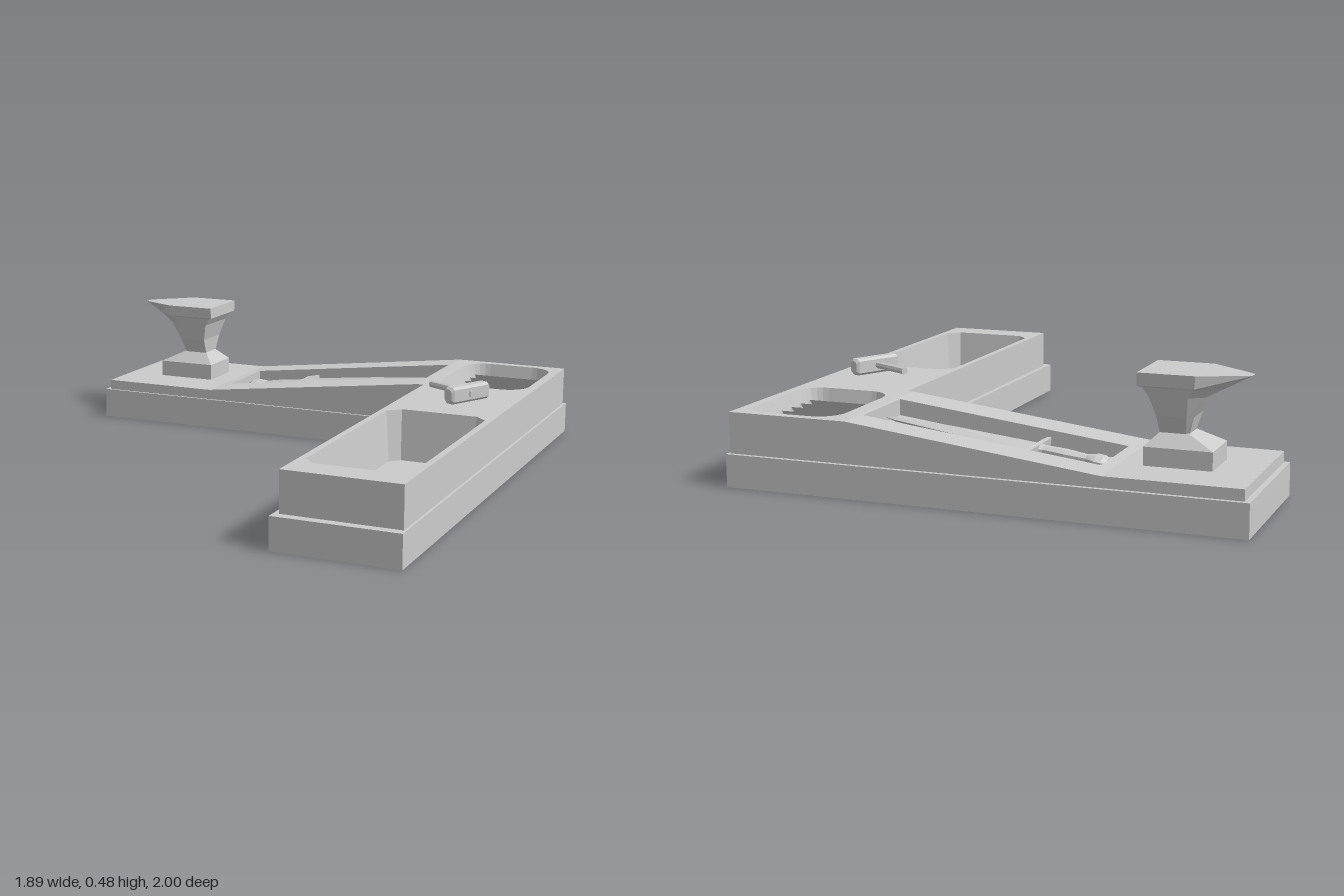
import * as THREE from 'three';

const grey = new THREE.MeshStandardMaterial({ color: 0xcccccc, flatShading: true });

function add(parent, name, geometry, x = 0, y = 0, z = 0) {
  const mesh = new THREE.Mesh(geometry, grey);
  mesh.name = name;
  mesh.position.set(x, y, z);
  parent.add(mesh);
  return mesh;
}

// Deck height: low shelf, ramp, high shelf
const X0 = -0.45, X1 = 0.48, LOW = 0.16, HIGH = 0.27;
const deck = (x) => LOW + (HIGH - LOW) * THREE.MathUtils.clamp((x - X0) / (X1 - X0), 0, 1);

// Rectangle outline [x, z]; seg 0 = square, 1 = chamfered, more = rounded corners
function outline(x0, x1, z0, z1, r = 0, seg = 0) {
  const points = [];
  const corners = [[x1 - r, z0 + r], [x0 + r, z0 + r], [x0 + r, z1 - r], [x1 - r, z1 - r]];
  corners.forEach(([cx, cz], i) => {
    for (let j = 0; j <= seg; j++) {
      const a = (i + j / Math.max(seg, 1)) * Math.PI / 2;
      points.push([cx + r * Math.cos(a), cz - r * Math.sin(a)]);
    }
  });
  return points;
}

// Upright slab with holes; its top follows a height rule
function slab(points, holes, y0, top) {
  const flat = (list) => list.map(([x, z]) => new THREE.Vector2(x, -z));
  const shape = new THREE.Shape(flat(points));
  holes.forEach((h) => shape.holes.push(new THREE.Path(flat(h))));
  const g = new THREE.ExtrudeGeometry(shape, { depth: 1, bevelEnabled: false });
  g.rotateX(-Math.PI / 2);
  const p = g.attributes.position;
  for (let i = 0; i < p.count; i++) p.setY(i, p.getY(i) < 0.5 ? y0 : top(p.getX(i)));
  g.computeVertexNormals();
  return g;
}

// Skin over successive loops of equal point count, with optional end caps
function loft(loops, startCap = true, endCap = true) {
  const out = [];
  const tri = (...pts) => pts.forEach((p) => out.push(...p));
  const n = loops[0].length;
  const mid = (l) => [0, 1, 2].map((k) => l.reduce((s, p) => s + p[k], 0) / n);
  const first = loops[0], last = loops[loops.length - 1];
  for (let i = 0; i < n; i++) {
    const j = (i + 1) % n;
    for (let s = 0; s + 1 < loops.length; s++) {
      const a = loops[s], b = loops[s + 1];
      tri(a[i], a[j], b[j]);
      tri(a[i], b[j], b[i]);
    }
    if (startCap) tri(mid(first), first[j], first[i]);
    if (endCap) tri(mid(last), last[i], last[j]);
  }
  const g = new THREE.BufferGeometry();
  g.setAttribute('position', new THREE.Float32BufferAttribute(out, 3));
  g.computeVertexNormals();
  return g;
}

// Open tray lining a hole, from the rim down to its floor
const tray = (rim, bottom, depth) => loft([
  rim.map(([x, z]) => [x, deck(x), z]),
  bottom.map(([x, z]) => [x, deck(x) - depth, z]),
], false, true);

export function createModel() {
  const group = new THREE.Group();

  // Pocket outlines
  const basinRim = outline(0.53, 0.91, 0, 0.85, 0.045, 1);
  const rackRim = outline(0.54, 0.9, -0.95, -0.485, 0.09, 6);
  const recessRim = outline(-0.41, 0.47, -0.865, -0.575);

  // L-shaped plinth
  const plinth = [[-0.95, -1], [0.945, -1], [0.945, 1], [0.485, 1], [0.485, -0.43], [-0.95, -0.43]];
  add(group, 'plinthBottom', slab(plinth, [], 0, () => 0.07));
  add(group, 'plinthTop', slab(plinth, [basinRim], 0.07, () => 0.12));

  // Counter: low shelf, ramp and high shelf
  add(group, 'lowCounter', slab(outline(-0.93, X0, -0.985, -0.44), [], 0.12, deck));
  add(group, 'rampCounter', slab(outline(X0, X1, -0.985, -0.44), [recessRim], 0.12, deck));
  add(group, 'highCounter', slab(
    [[X1, -0.985], [0.935, -0.985], [0.935, 0.965], [0.505, 0.965], [0.505, -0.44], [X1, -0.44]],
    [basinRim, rackRim], 0.12, deck));

  // Pocket linings
  add(group, 'basin', tray(basinRim, outline(0.548, 0.892, 0.025, 0.825, 0.035, 1), 0.19));
  add(group, 'rackPocket', tray(rackRim, outline(0.555, 0.885, -0.935, -0.5, 0.075, 6), 0.07));
  add(group, 'daggerRecess', tray(recessRim, recessRim, 0.06));

  // Ridges on the rack floor
  for (let i = 0; i < 6; i++) {
    const z = -0.92 + i * 0.068;
    const ridge = (x) => [[x, 0.2, z], [x, 0.232, z + 0.034], [x, 0.2, z + 0.061]].reverse();
    add(group, 'rackRidge', loft([ridge(0.58), ridge(0.86)]));
  }

  // Dagger lying in the recess, along the ramp
  const dagger = new THREE.Group();
  dagger.name = 'dagger';
  dagger.position.set(0, deck(0) - 0.035, -0.715);
  dagger.rotation.z = Math.atan((HIGH - LOW) / (X1 - X0));
  group.add(dagger);
  const diamond = (x, w, t) => [[x, t, 0], [x, 0, w], [x, -t, 0], [x, 0, -w]];
  add(dagger, 'blade', loft([
    diamond(-0.12, 0.06, 0.022), diamond(0.2, 0.034, 0.018),
    diamond(0.42, 0.014, 0.01), diamond(0.46, 0.002, 0.002)]));
  const ring = (x, w, t) => Array.from({ length: 8 }, (_, i) => {
    const a = (i + 0.5) * Math.PI / 4;
    return [x, t * Math.cos(a), w * Math.sin(a)];
  });
  add(dagger, 'grip', loft([ring(-0.32, 0.022, 0.016), ring(-0.23, 0.03, 0.02),
    ring(-0.15, 0.026, 0.018), ring(-0.12, 0.04, 0.022)]));
  add(dagger, 'pommel', loft([ring(-0.385, 0.03, 0.016), ring(-0.37, 0.05, 0.024),
    ring(-0.345, 0.05, 0.024), ring(-0.31, 0.025, 0.018)]));
  const guard = (z, w, t, x) => [[x - w, -t, z], [x + w, -t, z], [x + w, t, z], [x - w, t, z]];
  add(dagger, 'guard', loft([guard(-0.13, 0.006, 0.012, -0.12), guard(-0.06, 0.009, 0.02, -0.128),
    guard(0.06, 0.009, 0.02, -0.128), guard(0.13, 0.006, 0.012, -0.12)]));

  // Anvil: foot, sloped shoulder, flaring body with a horn toward -x
  const anvil = new THREE.Group();
  anvil.name = 'anvil';
  anvil.position.z = -0.715;
  group.add(anvil);
  const level = (y, x0, x1, w) => outline(x0, x1, -w, w).map(([x, z]) => [x, y, z]);
  add(anvil, 'anvilFoot', loft([level(0.155, -0.775, -0.535, 0.09), level(0.225, -0.775, -0.535, 0.09),
    level(0.27, -0.68, -0.58, 0.045)]));
  const section = (y, tip, tipW, shoulder, back, w, tipY = y) => [
    [back, y, w], [back, y, -w], [shoulder, y, -w],
    [tip, tipY, -tipW], [tip, tipY, tipW], [shoulder, y, w]];
  add(anvil, 'anvilBody', loft([
    section(0.265, -0.68, 0.04, -0.67, -0.58, 0.045),
    section(0.33, -0.7, 0.055, -0.68, -0.575, 0.075),
    section(0.4, -0.74, 0.06, -0.69, -0.555, 0.1),
    section(0.43, -0.8, 0.035, -0.71, -0.535, 0.11),
    section(0.435, -0.81, 0.035, -0.715, -0.52, 0.115),
    section(0.48, -0.885, 0.02, -0.72, -0.52, 0.12, 0.474)]));

  // Hammer resting on the high shelf
  const hammer = new THREE.Group();
  hammer.name = 'hammer';
  hammer.position.set(0.765, 0.313, -0.193);
  hammer.rotation.y = -0.48;
  group.add(hammer);
  const face = (z, w, h) => outline(-w, w, -h, h, 0.009, 1).map(([x, y]) => [x, -y, z]);
  add(hammer, 'hammerHead', loft([face(-0.1, 0.018, 0.024), face(-0.09, 0.024, 0.032),
    face(0.09, 0.024, 0.032), face(0.1, 0.018, 0.024)]));
  const handle = add(hammer, 'hammerHandle', new THREE.CylinderGeometry(0.014, 0.014, 0.225, 8), -0.082, 0, 0);
  handle.rotation.z = Math.PI / 2;

  return group;
}
